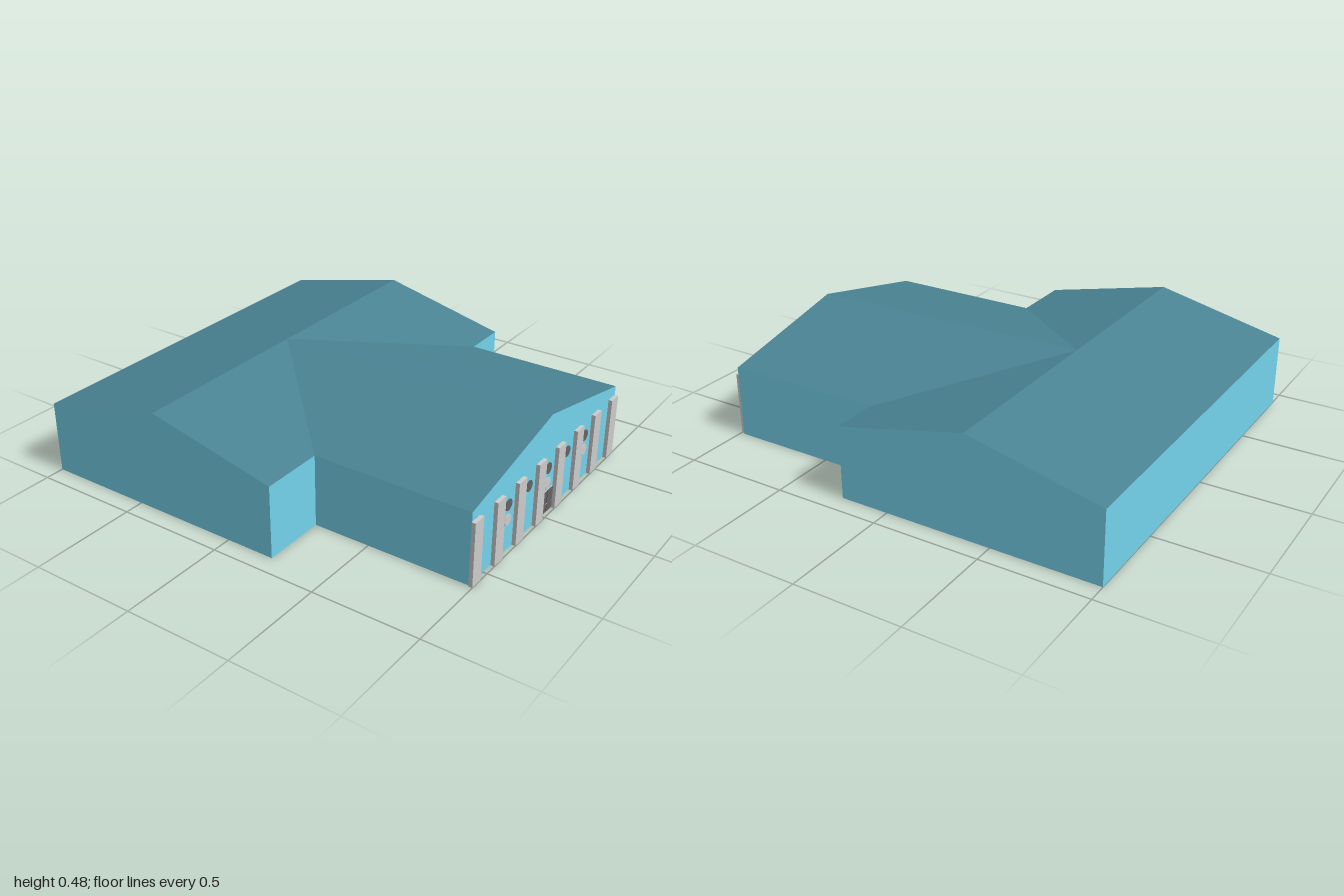
import * as THREE from 'three';

const EAVE = 0.34, RIDGE = 0.48;            // roof heights
const W = -1, E = 0.23, MID = -0.385;       // main hall in x, ridge line
const F = 0.91;                             // main hall half depth
const END = 0.98, WF = 0.61, WB = -0.695, WM = -0.04; // wing in x and z

const paint = (color, side = THREE.FrontSide) =>
  new THREE.MeshStandardMaterial({ color, side, flatShading: true });

export function createModel() {
  const model = new THREE.Group();
  const wallMat = paint(0x75d3ec, THREE.DoubleSide);
  const roofMat = paint(0x4a8494, THREE.DoubleSide);
  const stone = paint(0xcccccc);
  const dark = paint(0x646464);

  const add = (name, geometry, material, parent = model) => {
    const mesh = new THREE.Mesh(geometry, material);
    mesh.name = name;
    parent.add(mesh);
    return mesh;
  };

  // Flat convex panel from its corners, counter-clockwise seen from outside
  const panel = (name, material, ...corners) => {
    const points = [];
    for (let i = 1; i < corners.length - 1; i++) points.push(...corners[0], ...corners[i], ...corners[i + 1]);
    const geometry = new THREE.BufferGeometry();
    geometry.setAttribute('position', new THREE.Float32BufferAttribute(points, 3));
    geometry.computeVertexNormals();
    return add(name, geometry, material);
  };
  const wall = (name, x0, z0, x1, z1) =>
    panel(name, wallMat, [x0, 0, z0], [x1, 0, z1], [x1, EAVE, z1], [x0, EAVE, z0]);

  // Main hall walls
  panel('frontGableWall', wallMat, [W, 0, F], [E, 0, F], [E, EAVE, F], [MID, RIDGE, F], [W, EAVE, F]);
  panel('backGableWall', wallMat, [E, 0, -F], [W, 0, -F], [W, EAVE, -F], [MID, RIDGE, -F], [E, EAVE, -F]);
  wall('hallRearWall', W, -F, W, F);
  wall('frontReturnWall', E, F, E, WF);
  wall('backReturnWall', E, WB, E, -F);

  // Wing walls and entrance gable
  wall('wingFrontWall', E, WF, END, WF);
  wall('wingBackWall', END, WB, E, WB);
  panel('entranceGableWall', wallMat,
    [END, 0, WF], [END, 0, WB], [END, EAVE, WB], [END, RIDGE, WM], [END, EAVE, WF]);

  // Roof slopes, meeting in two valleys
  const peak = [MID, RIDGE, 0];
  panel('hallOuterSlope', roofMat, [W, EAVE, F], [MID, RIDGE, F], [MID, RIDGE, -F], [W, EAVE, -F]);
  panel('hallFrontSlope', roofMat, peak, [MID, RIDGE, F], [E, EAVE, F], [E, EAVE, WF]);
  panel('hallBackSlope', roofMat, peak, [E, EAVE, WB], [E, EAVE, -F], [MID, RIDGE, -F]);
  panel('wingFrontSlope', roofMat, peak, [E, EAVE, WF], [END, EAVE, WF], [END, RIDGE, WM]);
  panel('wingBackSlope', roofMat, peak, [END, RIDGE, WM], [END, EAVE, WB], [E, EAVE, WB]);

  // Row of pilasters across the entrance gable
  const pilasters = new THREE.Group();
  pilasters.name = 'pilasters';
  for (let i = 0; i < 8; i++) {
    add('pilaster', new THREE.BoxGeometry(0.018, 0.3, 0.066), stone, pilasters)
      .position.set(0.991, 0.15, 0.584 - i * 0.177);
  }
  model.add(pilasters);

  // Round windows, with pale roundels below every other one
  const disc = new THREE.CylinderGeometry(0.026, 0.026, 0.006, 24).rotateZ(-Math.PI / 2);
  for (let i = 0; i < 5; i++) {
    const z = 0.315 - i * 0.176;
    add('roundWindow', disc, dark).position.set(END + 0.002, 0.223, z);
    if (i % 2 === 0) add('roundel', disc, stone).position.set(END + 0.002, 0.15, z);
  }

  // Double door: pale frame with four dark panes
  const door = new THREE.Group();
  door.name = 'door';
  door.position.set(END, 0, -0.037);
  add('doorFrame', new THREE.BoxGeometry(0.006, 0.112, 0.108), stone, door).position.y = 0.056;
  for (const side of [-1, 1]) {
    for (const [low, high] of [[0.005, 0.042], [0.047, 0.11]]) {
      add('doorPane', new THREE.BoxGeometry(0.01, high - low, 0.049), dark, door)
        .position.set(0.001, (low + high) / 2, side * 0.027);
    }
  }
  model.add(door);

  return model;
}
